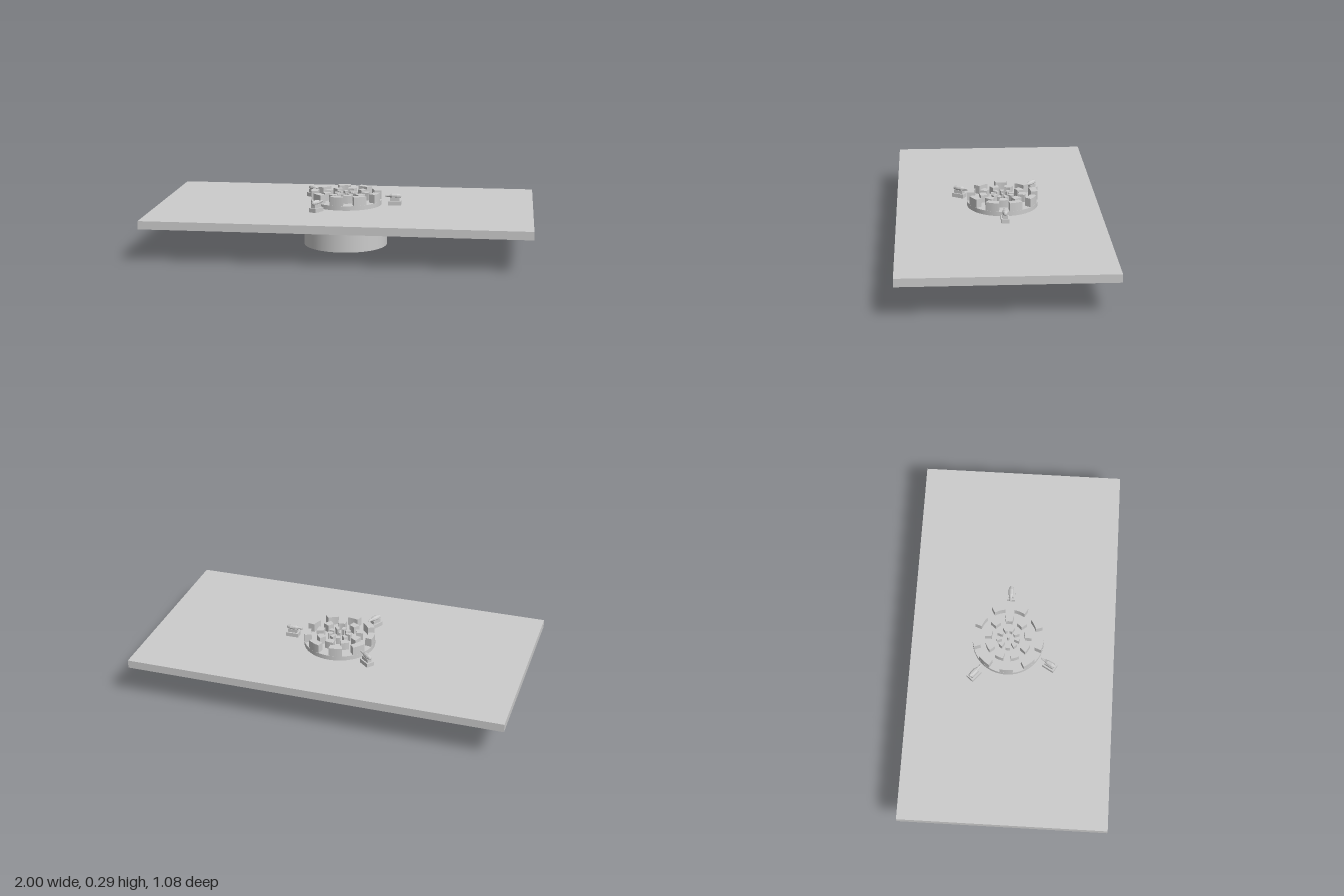
import * as THREE from 'three';

const grey = new THREE.MeshStandardMaterial({ color: 0xcccccc });
const flat = new THREE.MeshStandardMaterial({ color: 0xcccccc, flatShading: true });

function add(parent, name, geometry, x, y, z, material = grey) {
  const mesh = new THREE.Mesh(geometry, material);
  mesh.name = name;
  mesh.position.set(x, y, z);
  parent.add(mesh);
  return mesh;
}

// Upright block shaped as a slice of a ring, centred on the +x axis
function sectorGeometry(inner, outer, angle, height) {
  const shape = new THREE.Shape();
  shape.absarc(0, 0, outer, -angle / 2, angle / 2, false);
  shape.absarc(0, 0, inner, angle / 2, -angle / 2, true);
  const geometry = new THREE.ExtrudeGeometry(shape, { depth: height, bevelEnabled: false, curveSegments: 4 });
  return geometry.rotateX(-Math.PI / 2);
}

function createClip() {
  const clip = new THREE.Group();
  clip.name = 'clip';
  add(clip, 'clipBase', new THREE.BoxGeometry(0.068, 0.022, 0.043), 0.263, 0.23, 0);
  add(clip, 'clipNeck', new THREE.BoxGeometry(0.05, 0.02, 0.026), 0.263, 0.249, 0);
  // Tapered head, pointing at the dial
  const profile = [[0, 0], [0.005, 0.002], [0.007, 0.025], [0.013, 0.04], [0.014, 0.068], [0.009, 0.086], [0, 0.09]]
    .map(([r, h]) => new THREE.Vector2(r, h));
  const head = add(clip, 'clipHead', new THREE.LatheGeometry(profile, 10), 0.208, 0.267, 0, flat);
  head.rotation.z = -Math.PI / 2;
  return clip;
}

export function createModel() {
  const model = new THREE.Group();
  model.name = 'dialPanel';

  // Panel and the drum below it
  add(model, 'panel', new THREE.BoxGeometry(2, 0.043, 1.08), 0, 0.1975, 0);
  add(model, 'drum', new THREE.CylinderGeometry(0.224, 0.224, 0.178, 64), -0.003, 0.089, -0.026);

  // Dial on top
  const dial = new THREE.Group();
  dial.name = 'dial';
  dial.position.z = -0.026;
  model.add(dial);
  add(dial, 'dialDisc', new THREE.CylinderGeometry(0.19, 0.19, 0.026, 48), 0, 0.23, 0);

  // Rings of raised blocks: inner radius, outer radius, width, top, first angle
  const rings = [
    ['outerBlock', 0.153, 0.189, 22, 0.289, 20],
    ['middleBlock', 0.088, 0.124, 22, 0.284, 0],
    ['innerBlock', 0.034, 0.062, 22, 0.28, 20],
  ];
  for (const [name, inner, outer, width, top, start] of rings) {
    const geometry = sectorGeometry(inner, outer, THREE.MathUtils.degToRad(width), top - 0.242);
    for (let i = 0; i < 9; i++) {
      const block = add(dial, name, geometry, 0, 0.242, 0);
      block.rotation.y = THREE.MathUtils.degToRad(start + i * 40);
    }
  }
  add(dial, 'centrePin', new THREE.CylinderGeometry(0.006, 0.006, 0.036, 8), 0, 0.26, 0);

  // Three clips around the dial
  for (const angle of [0, 140, 240]) {
    const clip = createClip();
    clip.rotation.y = THREE.MathUtils.degToRad(angle);
    dial.add(clip);
  }
  return model;
}
